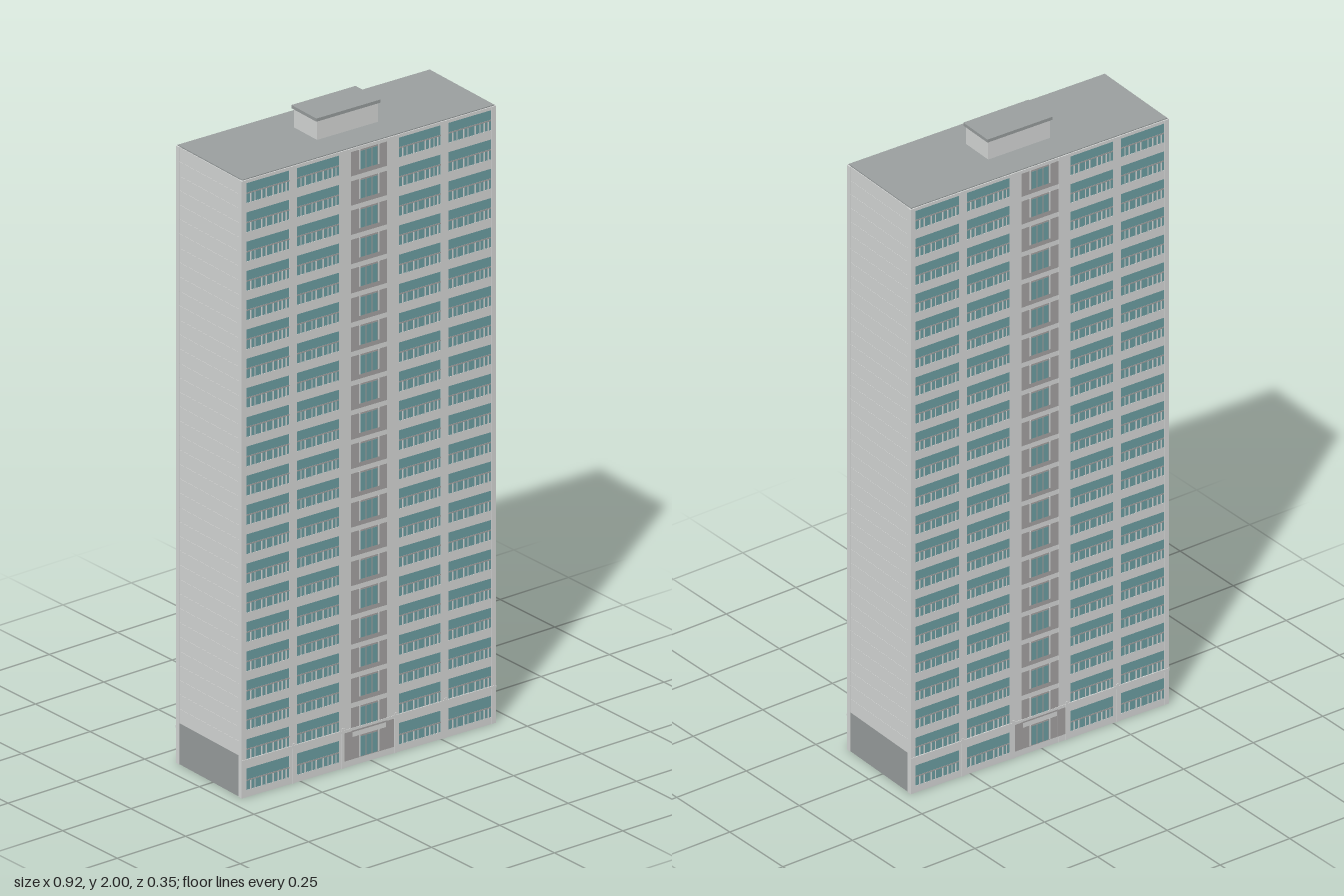
import * as THREE from 'three';
import { mergeGeometries } from 'three/addons/utils/BufferGeometryUtils.js';

const mat = (name, color) => {
  const m = new THREE.MeshStandardMaterial({ color });
  m.name = name;
  return m;
};

// Box given by its min and max on each axis
function span(x0, x1, y0, y1, z0, z1) {
  const g = new THREE.BoxGeometry(x1 - x0, y1 - y0, z1 - z0);
  g.translate((x0 + x1) / 2, (y0 + y1) / 2, (z0 + z1) / 2);
  return g;
}

export function createModel() {
  const concrete = mat('light concrete', 0xdcdedd);
  const grey = mat('roof grey', 0x9da2a2);
  const panel = mat('panel grey', 0xaaa8a7);
  const glass = mat('teal glass', 0x70a3a8);

  const FLOORS = 21, PITCH = 0.0914, OPEN = 0.062, TOP = 1.917;
  const HX = 0.452, HZ = 0.16, HEIGHT = 1.93, EAVES = HEIGHT - 0.003;
  const bays = [[-0.435, -0.283], [-0.256, -0.106], [0.106, 0.256], [0.283, 0.435]];
  const piers = [[-HX, -0.435], [-0.283, -0.256], [-0.106, -0.064],
    [0.064, 0.106], [0.256, 0.283], [0.435, HX]];
  const postSpots = [0.1, 0.2, 0.36, 0.46, 0.63, 0.74, 0.84, 0.93];

  const model = new THREE.Group();
  model.name = 'towerBlock';
  const add = (parent, name, geos, material) => {
    const mesh = new THREE.Mesh(mergeGeometries([].concat(geos)), material);
    mesh.name = name;
    parent.add(mesh);
  };

  // Core and roof
  add(model, 'core', span(-0.446, 0.446, 0, HEIGHT - 0.01, -0.15, 0.15), grey);
  add(model, 'roofSlab', span(-HX + 0.004, HX - 0.004, HEIGHT - 0.01, HEIGHT, -HZ + 0.005, HZ - 0.005), grey);

  // Lift house on the roof
  add(model, 'liftHouseWalls', span(-0.108, 0.108, HEIGHT, 1.99, -0.055, 0.055), concrete);
  add(model, 'liftHouseRoof', span(-0.114, 0.114, 1.99, 2, -0.06, 0.06), grey);

  // One long facade, facing +z, with its windows almost flush
  function facade(name) {
    const f = new THREE.Group();
    f.name = name;
    const panes = [], bands = [], rails = [], posts = [], stairs = [], stairGlass = [], mullions = [];
    let above = EAVES;
    for (let i = 0; i < FLOORS; i++) {
      const top = TOP - i * PITCH;
      const bottom = i === FLOORS - 1 ? 0.022 : top - OPEN;
      // Floor band above each row of openings
      bands.push(span(-HX, HX, top, above, 0.149, 0.158));
      above = bottom;
      for (const [x0, x1] of bays) {
        panes.push(span(x0, x1, bottom, top, 0.149, 0.157));
        const mid = bottom + 0.03;
        rails.push(span(x0, x1, mid - 0.002, mid + 0.002, 0.156, 0.1578));
        for (const t of postSpots) {
          const x = x0 + t * (x1 - x0);
          posts.push(span(x - 0.002, x + 0.002, bottom, mid - 0.002, 0.156, 0.158));
        }
      }
      // Stair bay in the middle, its panels running down over the band
      stairs.push(span(-0.064, 0.064, Math.max(bottom - 0.014, 0.02), top, 0.149, 0.1588));
      for (const x of [-0.021, 0, 0.021])
        stairGlass.push(span(x - 0.0088, x + 0.0088, bottom, top - 0.005, 0.157, 0.1593));
      for (const x of [-0.034, 0.034])
        mullions.push(span(x - 0.0025, x + 0.0025, bottom, top, 0.157, 0.1597));
    }
    bands.push(span(-HX, HX, 0, above, 0.149, 0.158));
    add(f, 'windows', panes, glass);
    add(f, 'floorBands', bands, concrete);
    add(f, 'balconyRails', rails, panel);
    add(f, 'balconyPosts', posts, concrete);
    add(f, 'stairPanels', stairs, panel);
    add(f, 'stairWindows', stairGlass, glass);
    add(f, 'stairMullions', mullions, concrete);
    add(f, 'piers', piers.map(([a, b]) => span(a, b, 0, EAVES, 0.149, 0.1585)), concrete);

    // Ground floor fins, canopy line and entrance surround
    add(f, 'groundFins', [-0.27, -0.093, 0.093, 0.27].map(
      x => span(x - 0.004, x + 0.004, 0, 0.125, 0.15, HZ + 0.0005)), concrete);
    add(f, 'canopy', span(-HX, HX, 0.11, 0.118, 0.15, HZ), concrete);
    add(f, 'entranceSides', [-1, 1].map(
      s => span(s * 0.074 - 0.014, s * 0.074 + 0.014, 0.02, 0.108, 0.15, 0.1592)), panel);
    return f;
  }

  // One windowless end wall, facing +x, with fine joints twice per floor
  function endWall(name) {
    const e = new THREE.Group();
    e.name = name;
    const panels = [], count = 40, step = (EAVES - 0.128) / count;
    for (let i = 0; i < count; i++) {
      const y = 0.128 + i * step;
      panels.push(span(0.445, 0.45, y, y + step - 0.0006, -0.143, 0.143));
    }
    add(e, 'wallPanels', panels, concrete);
    add(e, 'basePanel', span(0.445, 0.4505, 0, 0.128, -0.143, 0.143), grey);
    add(e, 'cornerStrips', [-1, 1].map(
      s => span(0.444, HX + 0.0005, 0, EAVES, s * 0.1505 - 0.0075, s * 0.1505 + 0.0075)), concrete);
    return e;
  }

  const back = facade('backFacade'), leftEnd = endWall('leftEnd'), rightEnd = endWall('rightEnd');
  back.rotation.y = Math.PI;
  rightEnd.rotation.y = Math.PI;
  model.add(facade('frontFacade'), back, leftEnd, rightEnd);

  // The block stands slightly turned on its plot
  model.rotation.y = -0.0367;
  const group = new THREE.Group();
  group.name = 'building';
  group.add(model);
  return group;
}
